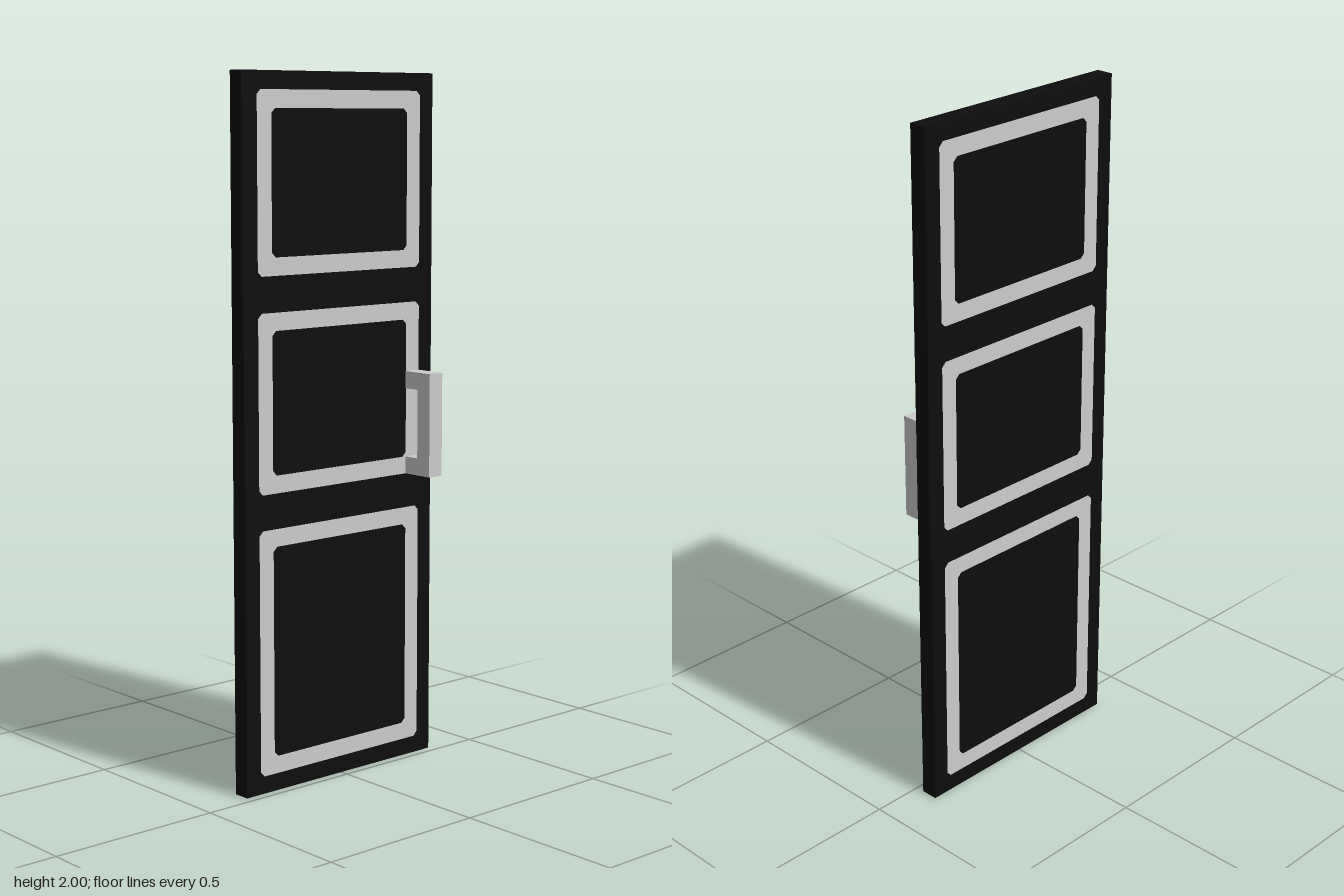
import * as THREE from 'three';

const black = new THREE.MeshStandardMaterial({ name: 'black', color: 0x0d0d0d });
const silver = new THREE.MeshStandardMaterial({ name: 'silver', color: 0xcccccc });

const WIDTH = 0.7, HEIGHT = 2, FRONT = -0.025, BACK = -0.075;
const LINE = 0.05;    // width of the painted borders
const CORNER = 0.013; // small cut at the border corners

function addMesh(parent, name, geometry, material) {
  const mesh = new THREE.Mesh(geometry, material);
  mesh.name = name;
  parent.add(mesh);
  return mesh;
}

// Rectangle with slightly clipped corners
function clippedRect(Type, x, y0, y1) {
  const c = CORNER;
  return new Type([
    [-x + c, y0], [x - c, y0], [x, y0 + c], [x, y1 - c],
    [x - c, y1], [-x + c, y1], [-x, y1 - c], [-x, y0 + c],
  ].map(([px, py]) => new THREE.Vector2(px, py)));
}

// Flat rectangular border
function borderGeometry(y0, y1) {
  const shape = clippedRect(THREE.Shape, 0.3, y0, y1);
  shape.holes.push(clippedRect(THREE.Path, 0.3 - LINE, y0 + LINE, y1 - LINE));
  return new THREE.ShapeGeometry(shape);
}

export function createModel() {
  const door = new THREE.Group();
  door.name = 'door';

  // Door slab
  const slab = addMesh(door, 'doorSlab', new THREE.BoxGeometry(WIDTH, HEIGHT, FRONT - BACK), black);
  slab.position.set(0, HEIGHT / 2, (FRONT + BACK) / 2);

  // Painted panel borders on both faces
  const panels = [['top', 1.45, 1.95], ['middle', 0.85, 1.35], ['bottom', 0.05, 0.75]];
  for (const [name, y0, y1] of panels) {
    const geometry = borderGeometry(y0, y1);
    addMesh(door, name + 'BorderFront', geometry, silver).position.z = FRONT + 0.001;
    const rear = addMesh(door, name + 'BorderBack', geometry, silver);
    rear.rotation.y = Math.PI;
    rear.position.z = BACK - 0.001;
  }

  // C-shaped pull handle, profile drawn in z and y
  const profile = new THREE.Shape([
    [FRONT, 0.85], [0.075, 0.85], [0.075, 1.15], [FRONT, 1.15],
    [FRONT, 1.1], [0.025, 1.1], [0.025, 0.9], [FRONT, 0.9],
  ].map(([z, y]) => new THREE.Vector2(z, y)));
  const handle = new THREE.ExtrudeGeometry(profile, { depth: 0.05, bevelEnabled: false });
  handle.rotateY(-Math.PI / 2).translate(0.3, 0, 0);
  addMesh(door, 'handle', handle, silver);

  return door;
}
